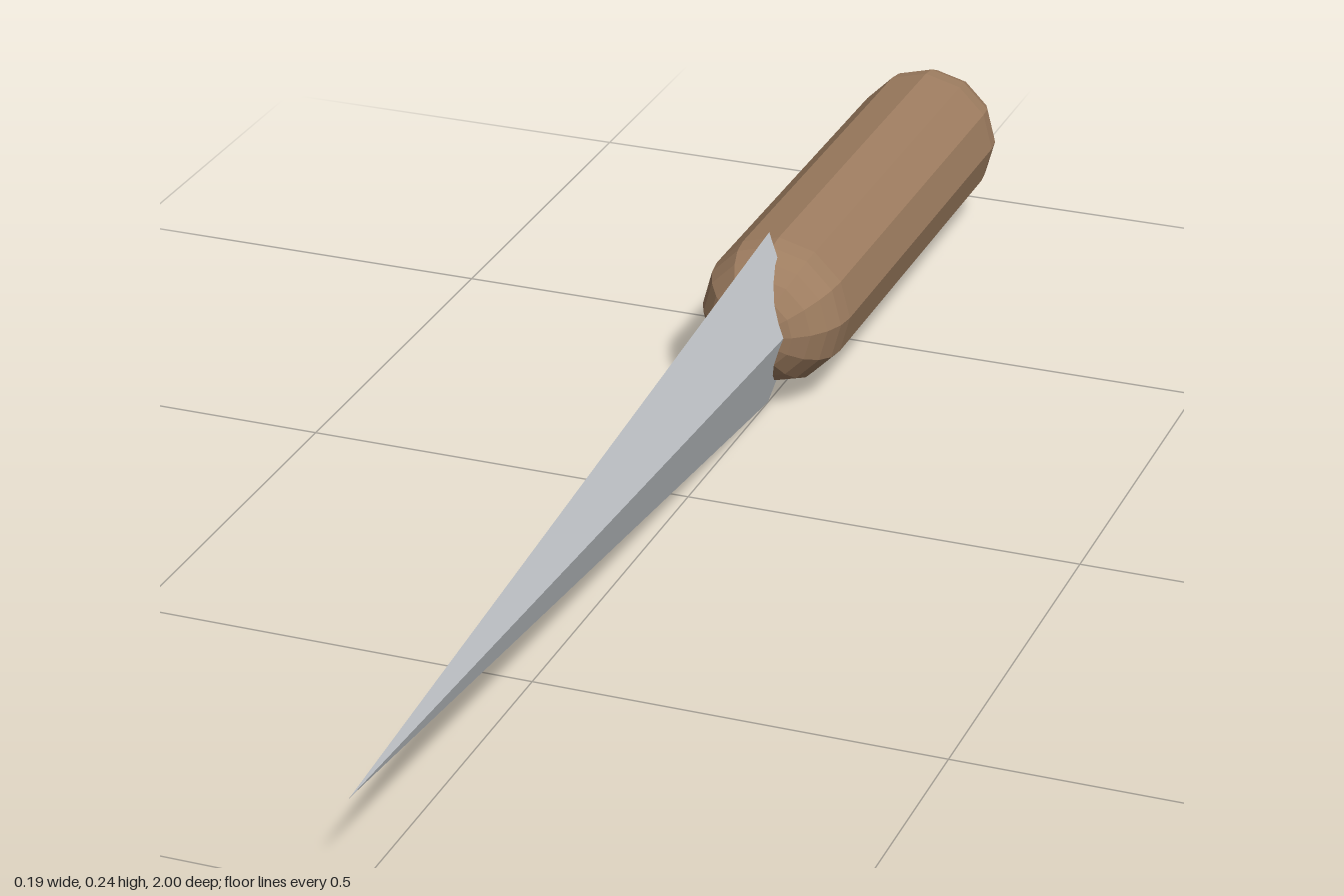
import * as THREE from 'three';

export function createModel() {
  const steel = new THREE.MeshStandardMaterial({ color: 0xc8ccd0, flatShading: true });
  steel.name = 'steel';
  const wood = new THREE.MeshStandardMaterial({ color: 0x9e7d60, flatShading: true });
  wood.name = 'wood';

  const group = new THREE.Group();
  group.name = 'dagger';
  const axisY = 0.118;

  // Lays a geometry built along y onto the z axis, spanning back to front
  const addAlongZ = (name, geometry, material, back, front) => {
    geometry.rotateX(Math.PI / 2);
    const mesh = new THREE.Mesh(geometry, material);
    mesh.name = name;
    mesh.position.set(0, axisY, (back + front) / 2);
    group.add(mesh);
  };

  // Blade: four-sided spike with a diamond cross-section
  const bladeBack = -0.285;
  const blade = new THREE.ConeGeometry(1, 1 - bladeBack, 4).scale(0.04, 1, axisY);
  addAlongZ('blade', blade, steel, bladeBack, 1);

  // Handle: twelve-sided capsule with rounded ends
  const radius = 0.096, handleBack = -1, handleFront = -0.225;
  const handle = new THREE.CapsuleGeometry(radius, handleFront - handleBack - 2 * radius, 6, 12);
  addAlongZ('handle', handle, wood, handleBack, handleFront);

  return group;
}
